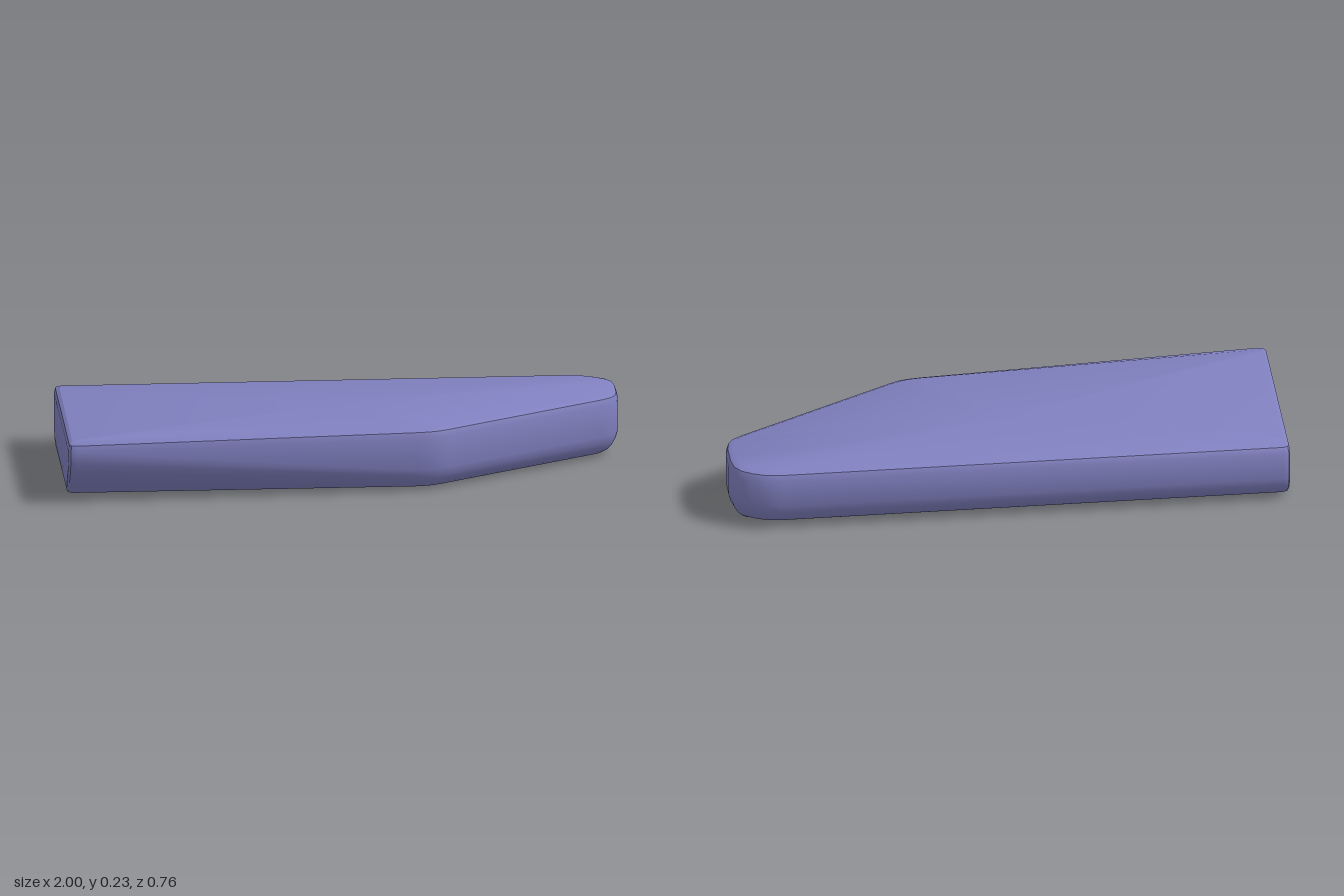
import * as THREE from 'three';
import { toCreasedNormals } from 'three/addons/utils/BufferGeometryUtils.js';

// Edge profiles from the top rim to the underside: [inset, height]
const backEdge = [[0.04, 0.232], [0.01, 0.222], [0, 0.2], [0, 0.1], [0.01, 0.07], [0.025, 0.045], [0.045, 0.022], [0.07, 0.008], [0.1, 0]];
const slopedEdge = [[0.04, 0.232], [0.008, 0.222], [0, 0.2], [0, 0.16], [0.02, 0.12], [0.065, 0.072], [0.11, 0.025], [0.135, 0.01], [0.175, 0]];
const steepEdge = [[0.028, 0.232], [0.007, 0.222], [0, 0.2], [0, 0.085], [0.007, 0.06], [0.018, 0.04], [0.033, 0.022], [0.055, 0.008], [0.085, 0]];
// Small rounding where the side meets the flat end
const endInset = [0.016, 0.004, 0, 0, 0, 0, 0.002, 0.006, 0.016];

// Plan outline: x, z, angle of the outward normal in degrees (0 = +x, 90 = +z), profile, flat end
const outline = [
  [-1, -0.36, -90, backEdge, true],
  [-0.994, -0.374, -90, backEdge, true],
  [-0.975, -0.38, -90, backEdge],
  [0.83, -0.38, -88, backEdge],
  [0.88, -0.374, -76, backEdge],
  [0.93, -0.354, -62, backEdge],
  [0.97, -0.328, -45, backEdge],
  [0.992, -0.29, -20, steepEdge],
  [1, -0.24, -4, steepEdge],
  [1, -0.15, 2, steepEdge],
  [0.992, -0.108, 20, steepEdge],
  [0.974, -0.08, 42, steepEdge],
  [0.94, -0.055, 58, steepEdge],
  [0.37, 0.267, 61, steepEdge],
  [0.335, 0.284, 68, steepEdge],
  [0.3, 0.294, 78, steepEdge],
  [0.25, 0.3, 86, steepEdge],
  [-0.97, 0.38, 86.5, slopedEdge],
  [-0.992, 0.374, 90, slopedEdge, true],
  [-1, 0.36, 90, slopedEdge, true],
];

// Stack of rings with a fan over the top and bottom
function slabGeometry() {
  const n = outline.length, levels = backEdge.length;
  const positions = [], index = [];
  for (let k = 0; k < levels; k++) {
    for (const [x, z, degrees, profile, flatEnd] of outline) {
      const angle = THREE.MathUtils.degToRad(degrees);
      const [inset, y] = profile[k];
      positions.push(
        x - inset * Math.cos(angle) + (flatEnd ? endInset[k] : 0),
        y,
        z - inset * Math.sin(angle));
    }
  }
  const top = n * levels, bottom = top + 1;
  positions.push(0, 0.232, -0.05, 0, 0, -0.05);
  for (let i = 0; i < n; i++) {
    const j = (i + 1) % n;
    for (let k = 0; k < levels - 1; k++) {
      const a = k * n + i, b = k * n + j;
      index.push(a, b, a + n, b, b + n, a + n);
    }
    const last = (levels - 1) * n;
    index.push(top, j, i, bottom, last + i, last + j);
  }
  const geometry = new THREE.BufferGeometry();
  geometry.setAttribute('position', new THREE.Float32BufferAttribute(positions, 3));
  geometry.setIndex(index);
  return toCreasedNormals(geometry, THREE.MathUtils.degToRad(32));
}

export function createModel() {
  const group = new THREE.Group();
  group.name = 'taperedSlab';
  const material = new THREE.MeshStandardMaterial({ color: 0x8080c0 });
  const body = new THREE.Mesh(slabGeometry(), material);
  body.name = 'slabBody';
  group.add(body);
  return group;
}
